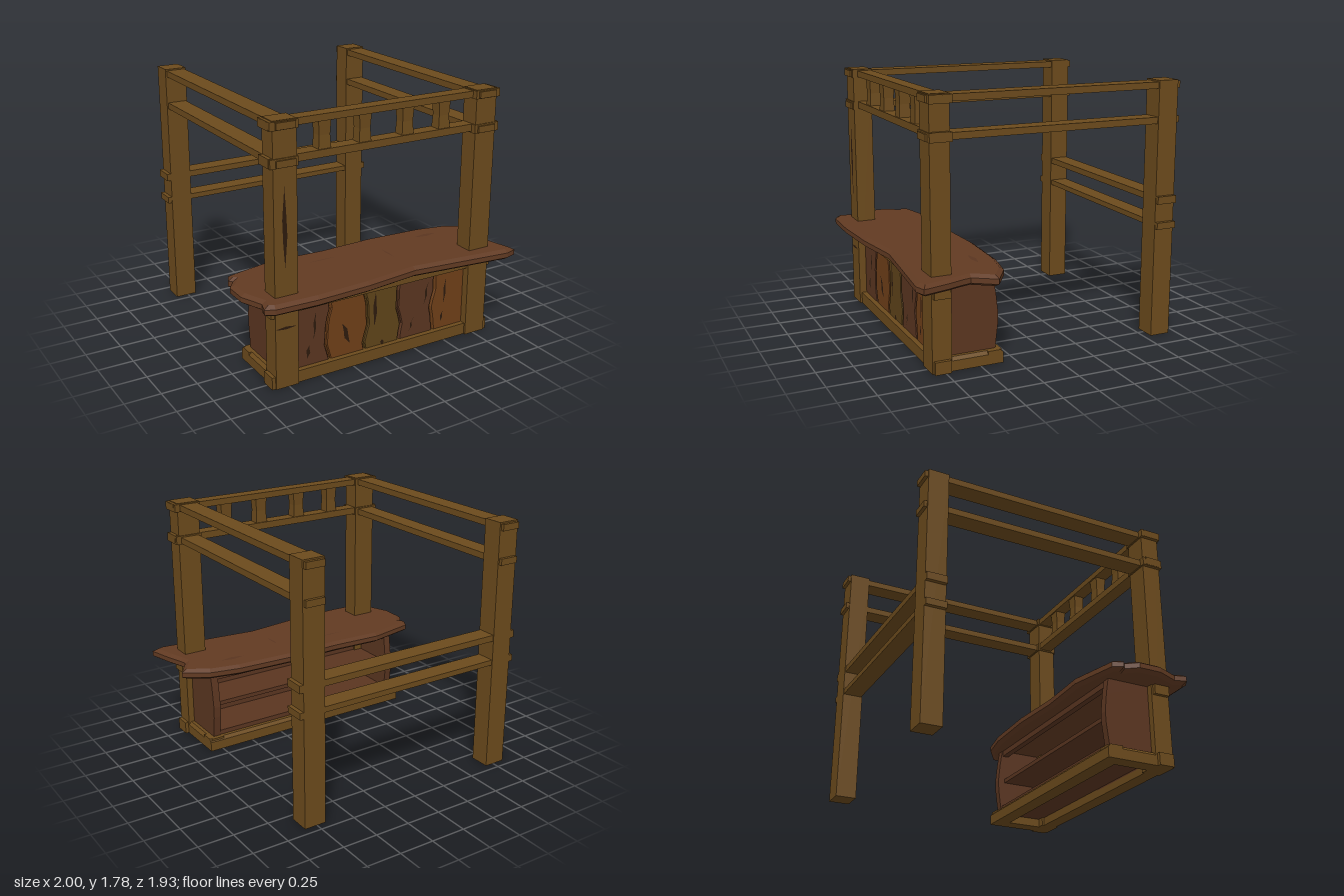
import * as THREE from 'three';

const mat = (color) => new THREE.MeshStandardMaterial({ color, flatShading: true, roughness: 0.9, side: THREE.DoubleSide });

export function createModel() {
  const model = new THREE.Group();
  model.name = 'marketStall';
  const beam = mat(0x6b4a1c), slab = mat(0x613a22), dark = mat(0x2c1a0d), inner = mat(0x5a3520);
  const orange = mat(0x6e3f18), olive = mat(0x5e4319), brown = mat(0x5a3520);

  const add = (name, geo, material) => {
    const m = new THREE.Mesh(geo, material);
    m.name = name;
    model.add(m);
    return m;
  };
  // Box given by its minimum and maximum on each axis
  const box = (name, x0, x1, y0, y1, z0, z1, material = beam) => {
    const g = new THREE.BoxGeometry(x1 - x0, y1 - y0, z1 - z0);
    g.translate((x0 + x1) / 2, (y0 + y1) / 2, (z0 + z1) / 2);
    return add(name, g, material);
  };
  // Same box on both sides of x = 0
  const pair = (name, x0, x1, ...rest) => {
    box(name + 'Left', x0, x1, ...rest);
    box(name + 'Right', -x1, -x0, ...rest);
  };
  const shape = (pts) => new THREE.Shape(pts.map(([x, y]) => new THREE.Vector2(x, y)));
  // Thin pointed crack lying on a front face
  const crack = (x, y, w, h, z, lean = 0) => {
    const g = new THREE.ShapeGeometry(shape([
      [-lean, -h / 2], [w / 2, -h * 0.1], [w * 0.3, h * 0.2], [lean, h / 2], [-w / 2, h * 0.1], [-w * 0.35, -h * 0.2],
    ]));
    g.translate(x, y, z);
    return add('woodCrack', g, dark);
  };

  // Corner posts
  pair('frontPost', 0.68, 0.845, 0, 1.785, 0.70, 0.835);
  pair('backPost', 0.685, 0.84, 0, 1.785, -0.945, -0.80);

  // Side rails, passing through the posts
  for (const [y0, y1] of [[1.73, 1.775], [1.495, 1.54]]) {
    pair('sideRail', 0.695, 0.83, y0, y1, -0.968, 0.855);
  }

  // Front rails with thicker end blocks
  for (const [y0, y1, z0, z1] of [[1.73, 1.775, 0.705, 0.805], [1.5, 1.55, 0.705, 0.805], [0.505, 0.565, 0.715, 0.81], [0, 0.083, 0.715, 0.82]]) {
    box('frontRail', -0.85, 0.85, y0, y1, z0, z1);
    pair('frontRailEnd', 0.80, 0.87, Math.max(0, y0 - 0.005), y1 + 0.003, 0.712, 0.825);
  }
  // Collars where the upper rails meet the posts
  for (const [y0, y1] of [[1.725, 1.78], [1.49, 1.55]]) {
    pair('postCollar', 0.672, 0.868, y0, y1, 0.69, 0.842);
  }

  // Back rails with end blocks
  for (const [y0, y1] of [[0.953, 0.997], [0.777, 0.815]]) {
    box('backRail', -0.85, 0.85, y0, y1, -0.94, -0.808);
    pair('backRailEnd', 0.835, 0.868, y0 - 0.005, y1 + 0.003, -0.945, -0.802);
  }

  // Short waisted spindles between the front rails
  for (const x of [-0.46, -0.165, 0.16, 0.45]) {
    const g = new THREE.BoxGeometry(0.09, 0.19, 0.08, 1, 4, 1);
    const p = g.attributes.position;
    for (let i = 0; i < p.count; i++) {
      const k = 0.88 + 0.12 * Math.abs(p.getY(i)) / 0.095;
      p.setX(i, p.getX(i) * k);
      p.setZ(i, p.getZ(i) * k);
    }
    g.translate(x, 1.638, 0.755);
    add('spindle', g, beam);
  }

  // Live-edge counter slab
  const outline = [
    [-0.93, 0.34], [-0.59, 0.265], [-0.2, 0.285], [0.19, 0.265], [0.61, 0.285], [0.83, 0.33], [1, 0.44],
    [0.9, 0.59], [0.915, 0.65], [0.95, 0.75], [1, 0.94], [0.92, 0.965], [0.56, 0.925], [0.19, 0.885],
    [-0.2, 0.935], [-0.59, 0.955], [-0.9, 0.945], [-0.96, 0.91], [-0.935, 0.83], [-1, 0.67], [-1, 0.51],
    [-0.94, 0.43], [-0.965, 0.41],
  ];
  const top = new THREE.ExtrudeGeometry(shape(outline), {
    depth: 0.035, bevelEnabled: true, bevelThickness: 0.02, bevelSize: 0.03, bevelOffset: -0.03, bevelSegments: 1,
  });
  top.rotateX(Math.PI / 2);
  top.translate(0, 0.626, 0);
  add('counterTop', top, slab);
  for (const [x, z, w, h] of [[-0.28, 0.455, 0.2, 0.012], [0.59, 0.44, 0.18, 0.04], [0.17, 0.58, 0.015, 0.15]]) {
    const c = crack(0, 0, w, h, 0);
    c.geometry.rotateX(-Math.PI / 2);
    c.geometry.translate(x, 0.648, z);
    c.material = inner;
  }

  // Bowed cabinet sides
  const side = shape([[0.74, 0.08], [0.38, 0.08], [0.36, 0.25], [0.357, 0.33], [0.372, 0.46], [0.392, 0.58], [0.74, 0.58]]);
  for (const x of [0.80, -0.745]) {
    const g = new THREE.ExtrudeGeometry(side, { depth: 0.055, bevelEnabled: false });
    g.rotateY(-Math.PI / 2);
    g.translate(x, 0, 0);
    add('cabinetSide', g, brown);
  }

  // Cabinet inside, open at the back
  box('cabinetBacking', -0.76, 0.76, 0.05, 0.575, 0.715, 0.745, inner);
  box('cabinetFloor', -0.76, 0.76, 0.06, 0.125, 0.385, 0.73, inner);
  box('shelf', -0.76, 0.76, 0.315, 0.345, 0.41, 0.73, inner);
  box('cabinetTopRail', -0.76, 0.76, 0.53, 0.575, 0.395, 0.44, inner);

  // Plinth frame with a sloped upper edge
  const plinth = [[0, 0], [0.11, 0], [0.11, 0.092], [0.02, 0.092], [0, 0.07]];
  const backPlinth = new THREE.ExtrudeGeometry(shape(plinth), { depth: 1.69, bevelEnabled: false });
  backPlinth.rotateY(-Math.PI / 2);
  backPlinth.translate(0.845, 0, 0.338);
  add('plinthBack', backPlinth, beam);
  for (const s of [1, -1]) {
    const pts = plinth.map(([x, y]) => [s * (0.845 - x), y]);
    const g = new THREE.ExtrudeGeometry(shape(pts), { depth: 0.37, bevelEnabled: false });
    g.translate(0, 0, 0.345);
    add('plinthSide', g, beam);
  }

  // Wavy front planks, neighbours sharing the shape of the gap
  const edges = [-0.69, -0.43, -0.13, 0.135, 0.42, 0.69];
  const wave = (i, t) => (i === 0 || i === 5 ? 0 : 0.016 * Math.sin(t * 6.5 + i * 2.1) + 0.006 * Math.sin(t * 15 + i));
  const plankMats = [brown, orange, olive, brown, orange];
  plankMats.forEach((m, i) => {
    const left = [], right = [];
    for (let k = 0; k <= 7; k++) {
      const t = k / 7, y = 0.07 + 0.445 * t;
      left.push([edges[i] + 0.008 + wave(i, t), y]);
      right.push([edges[i + 1] - 0.008 + wave(i + 1, t), y]);
    }
    const g = new THREE.ExtrudeGeometry(shape([...left, ...right.reverse()]), {
      depth: 0.03, bevelEnabled: true, bevelThickness: 0.008, bevelSize: 0.006, bevelOffset: -0.004, bevelSegments: 1,
    });
    g.translate(0, 0, 0.745);
    add('frontPlank', g, m);
  });

  // Cracks on planks and posts
  for (const [x, y, w, h, lean] of [
    [-0.53, 0.36, 0.02, 0.2, 0.01], [-0.58, 0.18, 0.03, 0.1, 0.01], [-0.29, 0.24, 0.035, 0.16, -0.03],
    [-0.06, 0.36, 0.03, 0.26, 0.004], [0, 0.1, 0.03, 0.04, 0], [0.24, 0.17, 0.015, 0.1, 0.02],
    [0.36, 0.38, 0.02, 0.17, 0.02], [0.52, 0.36, 0.02, 0.2, 0.01], [0.5, 0.17, 0.02, 0.08, 0.01],
  ]) crack(x, y, w, h, 0.785, lean);
  crack(-0.77, 1.1, 0.035, 0.54, 0.837);
  crack(-0.77, 0.425, 0.15, 0.02, 0.837);
  return model;
}
